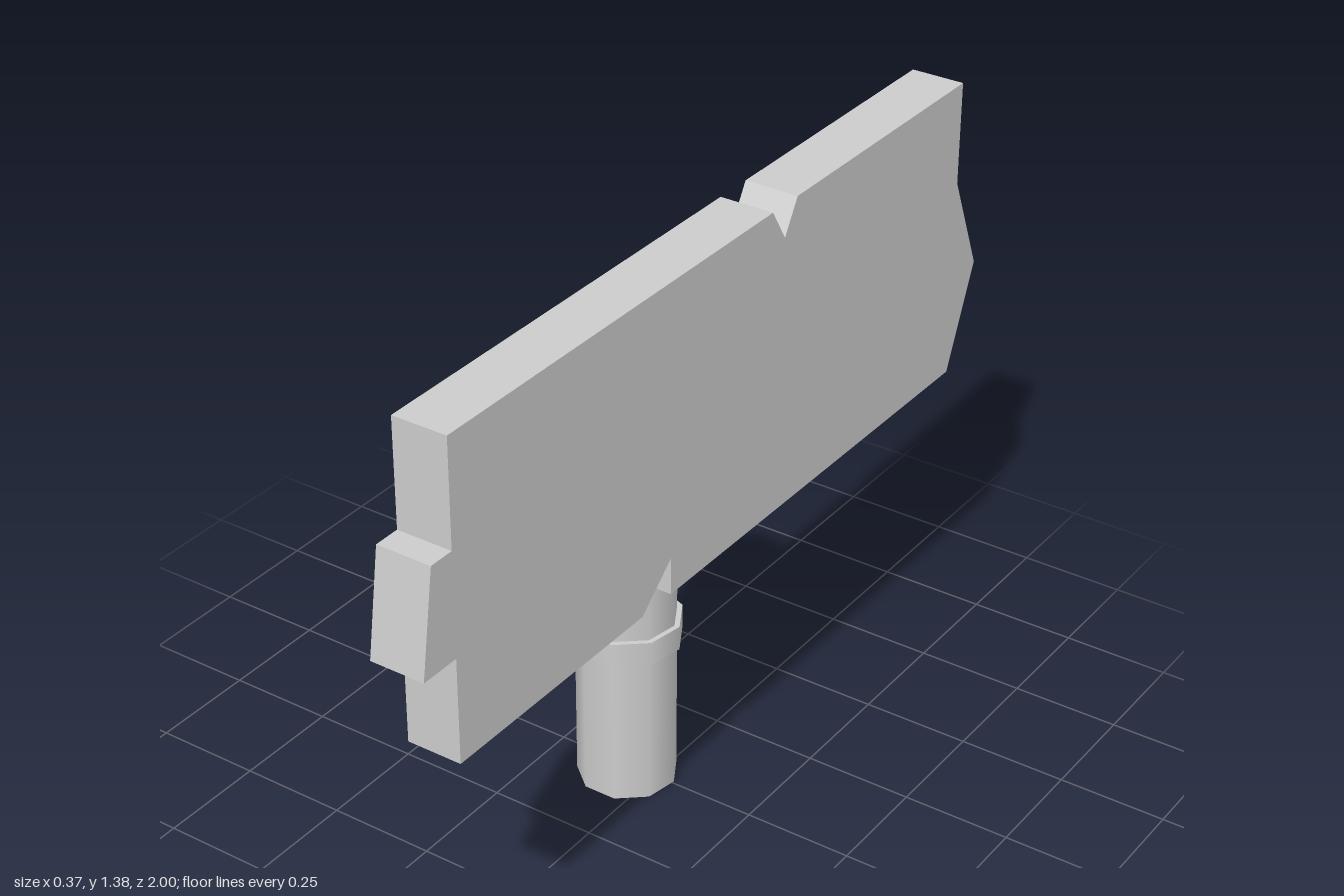
import * as THREE from 'three';

const material = new THREE.MeshStandardMaterial({ color: 0xcccccc });

// Upright nine-sided cylinder, standing on height y
function pole(name, radius, y, height) {
  const geometry = new THREE.CylinderGeometry(radius, radius, height, 9, 1, false, Math.PI);
  const mesh = new THREE.Mesh(geometry, material);
  mesh.position.set(-0.064, y + height / 2, 0.014);
  mesh.name = name;
  return mesh;
}

// Board outline as (z, y): pointed at the back, tabbed at the front, notched above and below
function board() {
  const outline = [
    [0.905, 0.67], [0.905, 0.91], [1, 0.91], [0.965, 1.145], [0.905, 1.145], [0.905, 1.385],
    [-0.145, 1.385], [-0.192, 1.31], [-0.236, 1.385], [-0.9, 1.385],
    [-0.9, 1.145], [-1, 0.91], [-0.9, 0.67],
    [0.21, 0.67], [0.21, 0.757], [0.31, 0.67],
  ];
  const shape = new THREE.Shape(outline.map(([z, y]) => new THREE.Vector2(z, y)));
  const geometry = new THREE.ExtrudeGeometry(shape, { depth: 0.125, bevelEnabled: false });
  geometry.rotateY(-Math.PI / 2).translate(0.185, 0, 0);
  const mesh = new THREE.Mesh(geometry, material);
  mesh.name = 'signBoard';
  return mesh;
}

export function createModel() {
  const model = new THREE.Group();
  model.name = 'signpost';
  model.add(pole('post', 0.113, 0, 1.087), pole('postCollar', 0.125, 0.36, 0.058), board());
  return model;
}
